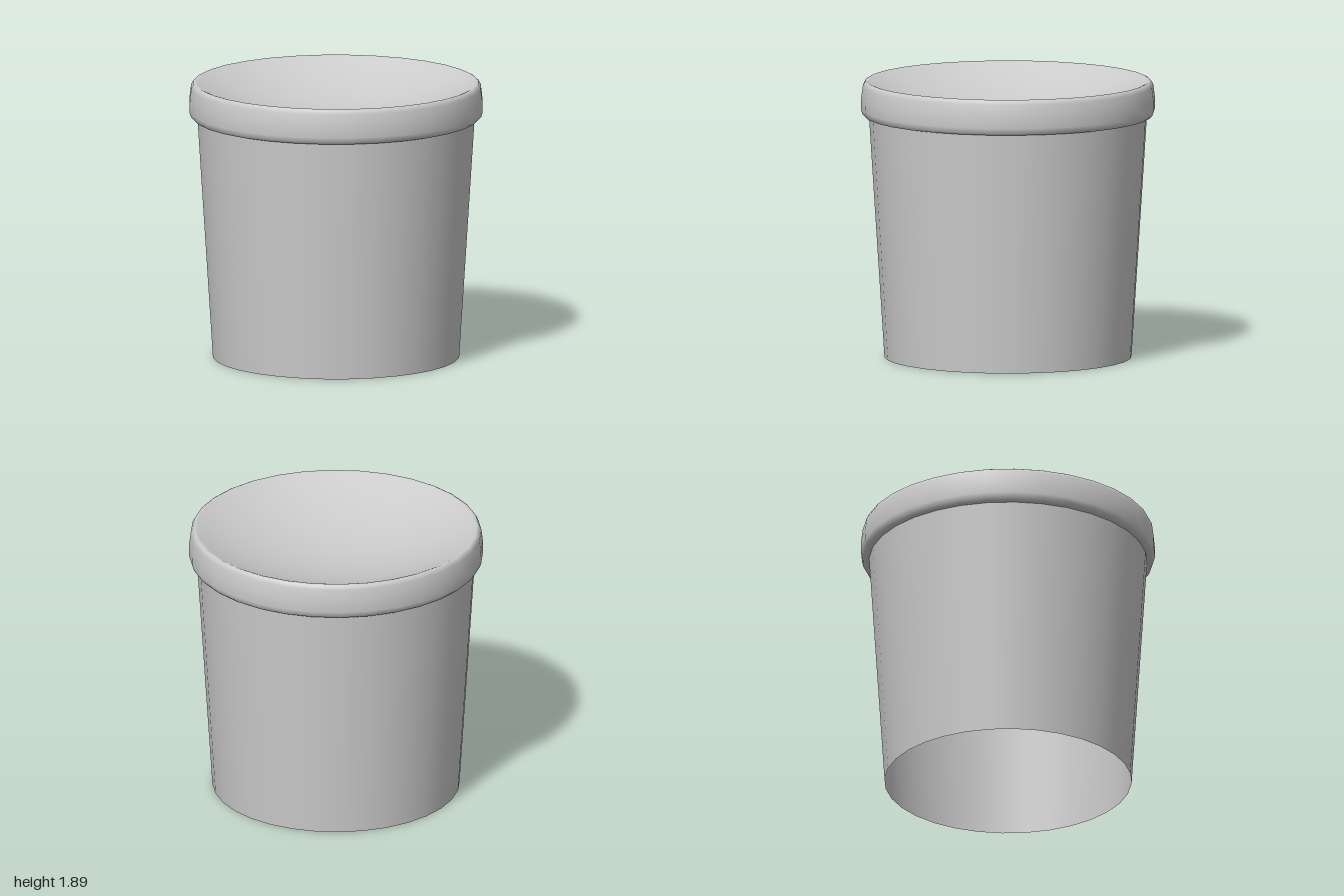
import * as THREE from 'three';

const SIDES = 32;

// Revolves a profile of [radius, height] pairs around the vertical axis.
function revolve(name, profile, material) {
  const points = profile.map(([r, y]) => new THREE.Vector2(r, y));
  const mesh = new THREE.Mesh(new THREE.LatheGeometry(points, SIDES), material);
  mesh.name = name;
  return mesh;
}

// Profile of a shallow spherical dish, from its edge in to the centre.
function dishProfile(radius, edgeY, depth, steps) {
  const sphere = (radius * radius + depth * depth) / (2 * depth);
  const edgeAngle = Math.asin(radius / sphere);
  const profile = [];
  for (let i = 0; i <= steps; i++) {
    const angle = edgeAngle * (1 - i / steps);
    profile.push([sphere * Math.sin(angle), edgeY - depth + sphere * (1 - Math.cos(angle))]);
  }
  return profile;
}

export function createModel() {
  const group = new THREE.Group();
  group.name = 'tub';
  const material = new THREE.MeshStandardMaterial({ color: 0xcccccc, side: THREE.DoubleSide });

  // Tapered wall, a thin open sleeve
  group.add(revolve('wall', [[0.84, 0], [0.945, 1.65]], material));

  // Lid: rounded skirt and rolled lip running smoothly into a dished top
  group.add(revolve('lid', [
    [0.945, 1.65], [0.975, 1.652], [0.99, 1.668], [1, 1.7], [0.998, 1.78],
    [0.988, 1.86], [0.975, 1.885], [0.96, 1.893],
    ...dishProfile(0.945, 1.888, 0.22, 12),
  ], material));

  return group;
}
